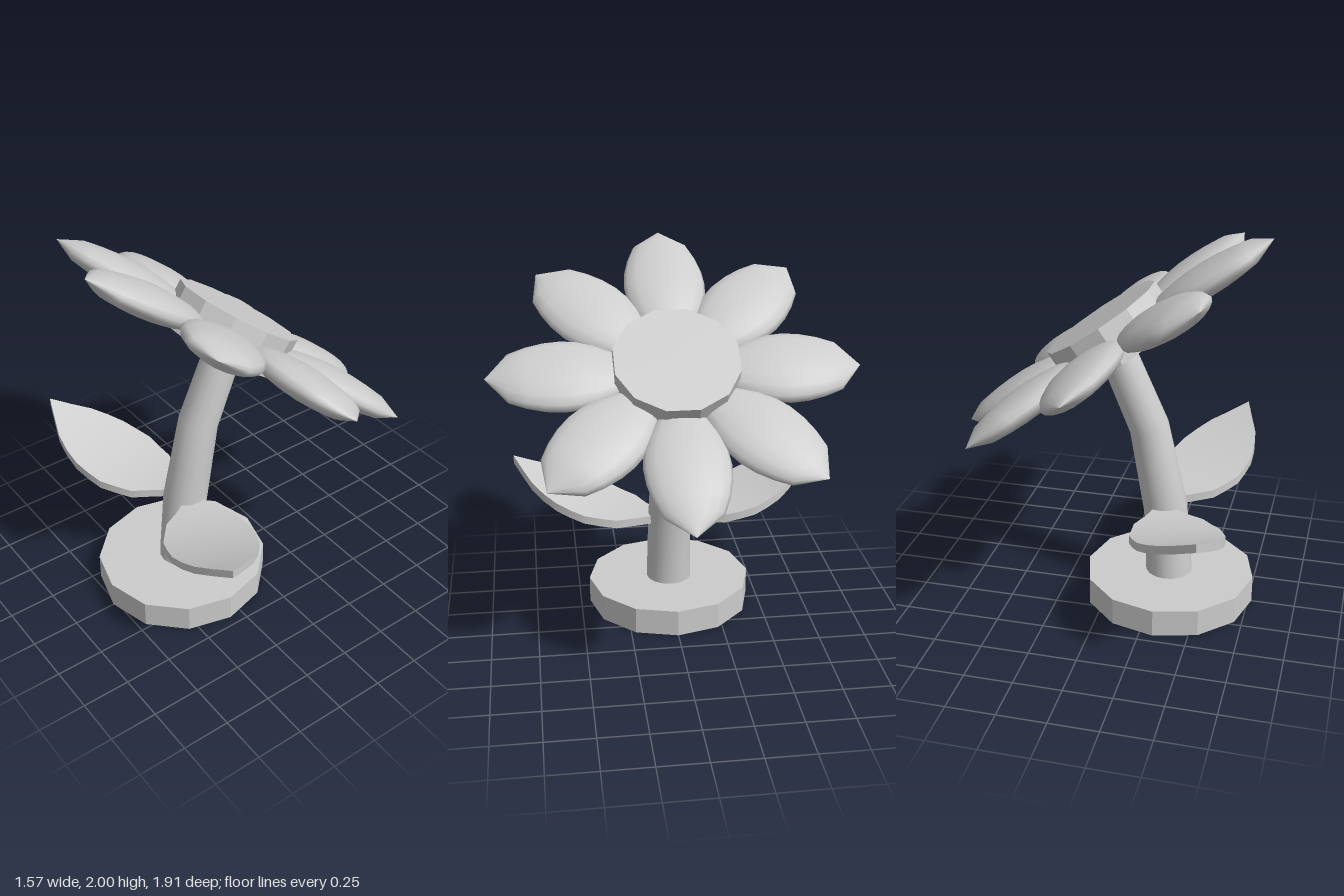
import * as THREE from 'three';
import { toCreasedNormals } from 'three/addons/utils/BufferGeometryUtils.js';

const grey = new THREE.MeshStandardMaterial({ color: 0xcccccc });
grey.name = 'light grey';

function add(parent, name, geometry, x = 0, y = 0, z = 0) {
  const mesh = new THREE.Mesh(geometry, grey);
  mesh.name = name;
  mesh.position.set(x, y, z);
  parent.add(mesh);
  return mesh;
}

// Twelve-sided faceted disc with flat sides
function disc(radius, height, turn) {
  return toCreasedNormals(new THREE.CylinderGeometry(radius, radius, height, 12).rotateY(turn), 0.3);
}

// Linear interpolation through [position, value] pairs
function sample(table, t) {
  for (let i = 1; i < table.length; i++) {
    const [a, va] = table[i - 1], [b, vb] = table[i];
    if (t <= b) return va + (vb - va) * (t - a) / (b - a);
  }
  return table[table.length - 1][1];
}

// Bent, tapering stem: a cylinder whose rings follow a list of centres
function stemGeometry() {
  const rings = [[-0.318, 0.1, 0.126], [-0.29, 0.51, 0.117], [-0.195, 0.97, 0.104], [-0.025, 1.36, 0.096]];
  const tilts = [0, 0.13, 0.3, 0.5];
  const g = new THREE.CylinderGeometry(1, 1, 3, 16, 3);
  const p = g.attributes.position;
  for (let i = 0; i < p.count; i++) {
    const k = Math.round(p.getY(i) + 1.5);
    const [cx, cy, r] = rings[k];
    const x = p.getX(i) * r;
    p.setXYZ(i, cx + x * Math.cos(tilts[k]), cy - x * Math.sin(tilts[k]), p.getZ(i) * r);
  }
  return toCreasedNormals(g, 0.7);
}

// Flattened, pointed petal running along +x from the head centre
function petalGeometry() {
  const profile = [[0, 0.2], [0.07, 0.24], [0.13, 0.3], [0.18, 0.4], [0.208, 0.49], [0.216, 0.57],
    [0.208, 0.66], [0.185, 0.75], [0.148, 0.84], [0, 0.957]];
  return new THREE.LatheGeometry(profile.map(([r, l]) => new THREE.Vector2(r, l)), 16)
    .scale(0.36, 1, 1).rotateZ(-Math.PI / 2);
}

// Thick leaf along +x, curving upward to a pointed tip
function leafGeometry() {
  const length = 0.825;
  const widths = [[0, 0.05], [0.1, 0.11], [0.2, 0.18], [0.4, 0.23], [0.55, 0.225], [0.65, 0.21], [0.8, 0.145], [1, 0.002]];
  const g = new THREE.BoxGeometry(1, 0.045, 2, 10, 1, 2);
  const p = g.attributes.position;
  for (let i = 0; i < p.count; i++) {
    const s = p.getX(i) + 0.5;
    p.setXYZ(i, s * length, p.getY(i) + 0.255 * s * s, p.getZ(i) * sample(widths, s));
  }
  return toCreasedNormals(g, 0.5);
}

export function createModel() {
  const model = new THREE.Group();
  model.name = 'flower';

  // Foot and stem
  add(model, 'base', disc(0.45, 0.145, 0), -0.32, 0.0725, 0);
  add(model, 'stem', stemGeometry());

  // Pair of leaves sweeping out and back
  const leaf = leafGeometry();
  for (const side of [1, -1]) {
    add(model, side > 0 ? 'frontLeaf' : 'backLeaf', leaf, -0.29, 0.522, side * 0.08)
      .rotation.y = -side * Math.atan2(0.765, -0.31);
  }

  // Tilted flower head with eight petals
  const head = new THREE.Group();
  head.name = 'flowerHead';
  head.position.set(0, 1.453, 0);
  head.rotation.z = -THREE.MathUtils.degToRad(35);
  model.add(head);
  add(head, 'centreDisc', disc(0.327, 0.21, Math.PI / 12), 0, 0.006, 0);
  const petal = petalGeometry();
  for (let i = 0; i < 8; i++) add(head, 'petal' + (i + 1), petal).rotation.y = i * Math.PI / 4;

  return model;
}
